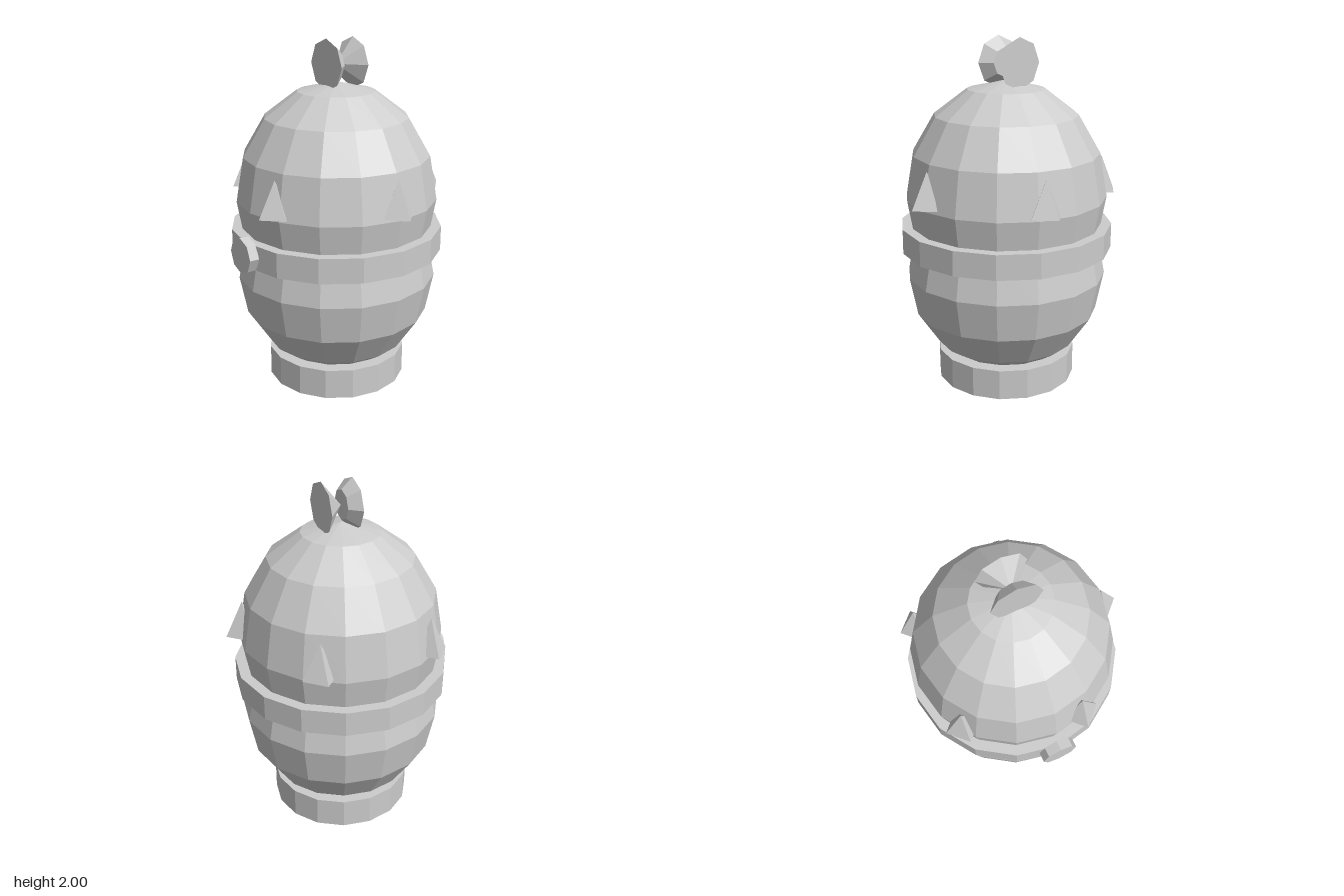
import * as THREE from 'three';

export function createModel() {
  const model = new THREE.Group();
  model.name = 'eggFigure';
  const gray = new THREE.MeshStandardMaterial({ color: 0xcccccc, flatShading: true });
  gray.name = 'light gray';

  // everything is placed around the body's axis
  const axis = new THREE.Group();
  axis.name = 'body';
  axis.position.set(-0.026, 0, -0.01);
  model.add(axis);

  const add = (name, geometry, x, y, z) => {
    const mesh = new THREE.Mesh(geometry, gray);
    mesh.name = name;
    mesh.position.set(x, y, z);
    axis.add(mesh);
    return mesh;
  };

  // two overlapping faceted shells
  const shell = (name, y, height) =>
    add(name, new THREE.SphereGeometry(0.578, 16, 8).scale(1, height / 0.578, 1), 0, y, 0);
  shell('upperShell', 1.103, 0.658);
  shell('lowerShell', 0.642, 0.583);

  // belt and base
  add('belt', new THREE.CylinderGeometry(0.61, 0.61, 0.142, 16), 0, 0.87, 0);
  add('base', new THREE.CylinderGeometry(0.405, 0.405, 0.175, 16), 0, 0.0875, 0);

  // round button on the front of the belt
  add('button', new THREE.CylinderGeometry(0.103, 0.103, 0.056, 8).rotateX(Math.PI / 2), 0, 0.873, 0.62);

  // bow on top: a short frustum in front, a full cone behind
  add('bowFront', new THREE.CylinderGeometry(0.143, 0.085, 0.064, 8).rotateX(Math.PI / 2), 0, 1.857, 0.036);
  add('bowBack', new THREE.ConeGeometry(0.143, 0.114, 8).rotateX(Math.PI / 2), 0, 1.857, -0.057);

  // ring of five four-sided spikes
  const spike = new THREE.ConeGeometry(0.102, 0.2, 4);
  for (let i = 0; i < 5; i++) {
    const a = (i * Math.PI * 2) / 5;
    add('spike' + (i + 1), spike, 0.551 * Math.cos(a), 1.22, 0.551 * Math.sin(a));
  }
  return model;
}
